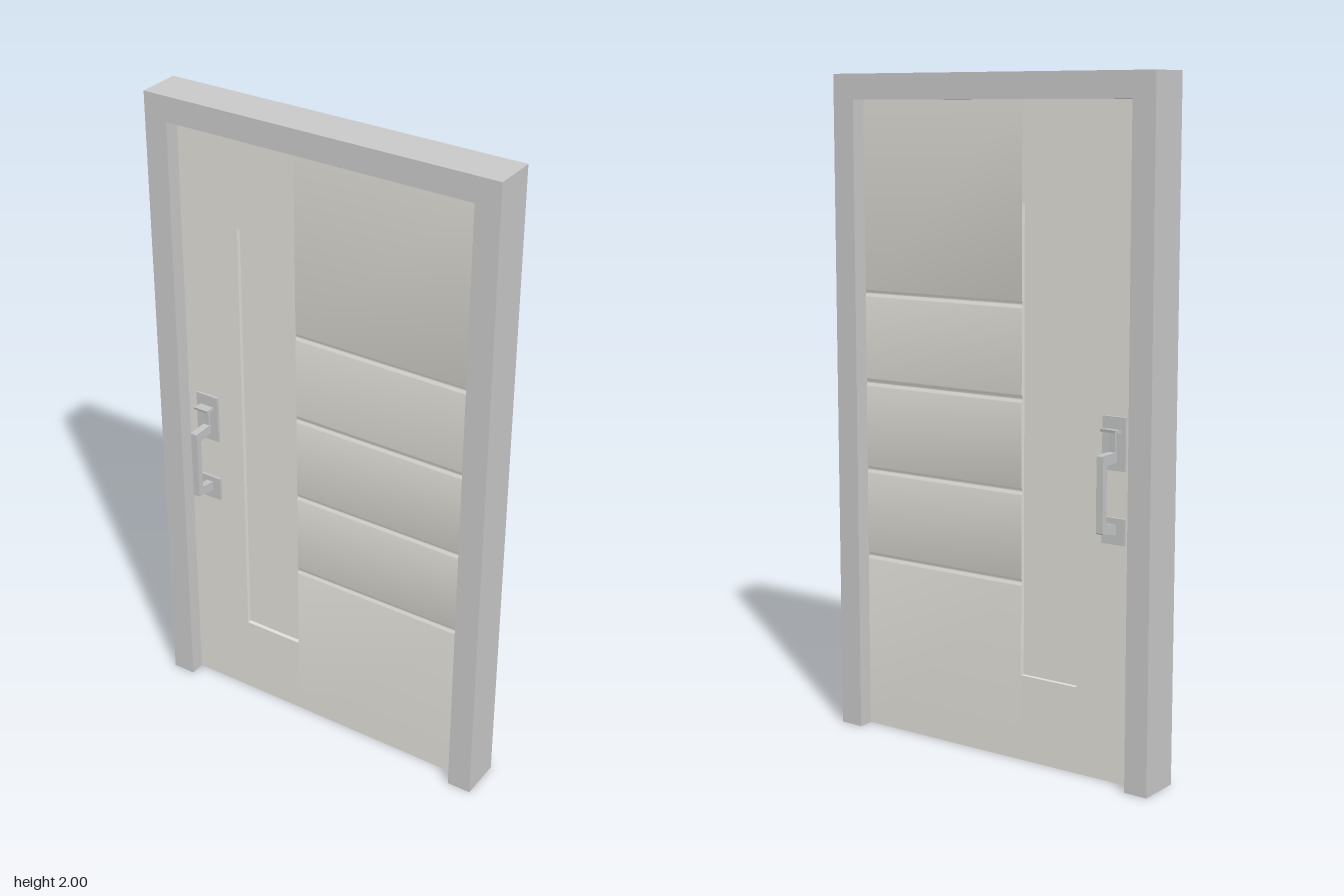
import * as THREE from 'three';
import { toCreasedNormals } from 'three/addons/utils/BufferGeometryUtils.js';

const FRAME_Z = 0.067;  // half depth of the frame
const DOOR_Z = 0.02;    // half thickness of the leaf
const PANE_Z = 0.007;   // half thickness of the sunken panel

const frameMat = new THREE.MeshStandardMaterial({ name: 'frame grey', color: 0xc9c9c9 });
const doorMat = new THREE.MeshStandardMaterial({ name: 'warm grey door', color: 0xe1dfd8 });
const metalMat = new THREE.MeshStandardMaterial({ name: 'handle metal', color: 0xc4c5c6 });

function toShape(points) {
  return new THREE.Shape(points.map(([x, y]) => new THREE.Vector2(x, y)));
}

// Outline in x, y extruded evenly about z = 0
function frontExtrude(points, halfDepth) {
  const geo = new THREE.ExtrudeGeometry(toShape(points), { depth: 2 * halfDepth, bevelEnabled: false });
  return geo.translate(0, 0, -halfDepth);
}

// Outline in z, y extruded along x from x0 to x1
function sideExtrude(points, x0, x1) {
  const shape = toShape(points.map(([z, y]) => [-z, y]));
  const geo = new THREE.ExtrudeGeometry(shape, { depth: x1 - x0, bevelEnabled: false });
  return geo.rotateY(Math.PI / 2).translate(x0, 0, 0);
}

function box(x0, x1, y0, y1, z0, z1) {
  const geo = new THREE.BoxGeometry(x1 - x0, y1 - y0, Math.abs(z1 - z0));
  return geo.translate((x0 + x1) / 2, (y0 + y1) / 2, (z0 + z1) / 2);
}

function add(group, name, geo, mat) {
  const mesh = new THREE.Mesh(geo, mat);
  mesh.name = name;
  group.add(mesh);
}

// Pull handle with thumb latch; side is +1 for the front, -1 for the back
function makeHandle(side) {
  const g = new THREE.Group();
  g.name = side > 0 ? 'frontHandle' : 'backHandle';
  const cx = -0.4125;
  const flip = (points) => points.map(([z, y]) => [z * side, y]);
  const plate = (y0, y1) => box(cx - 0.038, cx + 0.038, y0, y1, DOOR_Z * side, 0.028 * side);
  add(g, 'upperPlate', plate(0.91, 1.062), metalMat);
  add(g, 'lowerPlate', plate(0.7, 0.776), metalMat);

  // Bracket-shaped grip with a sloped lower arm
  const grip = [
    [0.022, 0.963], [0.096, 0.963], [0.098, 0.96], [0.098, 0.744], [0.095, 0.741], [0.022, 0.728],
    [0.022, 0.757], [0.074, 0.767], [0.079, 0.773], [0.079, 0.926], [0.074, 0.932], [0.022, 0.935],
  ];
  add(g, 'grip', sideExtrude(flip(grip), cx - 0.011, cx + 0.011), metalMat);

  // Thumb latch: narrow stem under a wide tilted lever
  const stem = [[0.022, 0.96], [0.034, 0.96], [0.037, 1.022], [0.022, 1.022]];
  add(g, 'latchStem', sideExtrude(flip(stem), cx - 0.009, cx + 0.009), metalMat);
  const lever = [[0.022, 1.014], [0.06, 1.022], [0.062, 1.03], [0.022, 1.026]];
  add(g, 'thumbLever', sideExtrude(flip(lever), cx - 0.024, cx + 0.024), metalMat);
  return g;
}

export function createModel() {
  const model = new THREE.Group();
  model.name = 'entranceDoor';

  // Surrounding frame, open at the bottom
  const left = 0.482, right = -0.484, top = 1.925;
  add(model, 'frame', frontExtrude([
    [-0.557, 0], [right, 0], [right, top], [left, top],
    [left, 0], [0.557, 0], [0.557, 2], [-0.557, 2],
  ], FRAME_Z), frameMat);

  const leaf = new THREE.Group();
  leaf.name = 'doorLeaf';
  model.add(leaf);

  // Handle side of the leaf, notched around the tall panel
  const base = 0.001;
  const wx0 = -0.289, wx1 = -0.095, wy0 = 0.26, wy1 = 1.637;
  add(leaf, 'handleSide', frontExtrude([
    [right, base], [wx1, base], [wx1, wy0], [wx0, wy0],
    [wx0, wy1], [wx1, wy1], [wx1, top], [right, top],
  ], DOOR_Z), doorMat);
  add(leaf, 'tallPanel', box(wx0, wx1, wy0, wy1, -PANE_Z, PANE_Z), doorMat);

  // Hinge side of the leaf with soft shallow grooves on both faces
  const front = [], back = [];
  const steps = 8, grooveWidth = 0.026, grooveDepth = 0.0042;
  for (const y of [0.541, 0.811, 1.08, 1.352]) {
    for (let i = 0; i <= steps; i++) {
      const t = i / steps;
      const z = DOOR_Z - grooveDepth * (1 - Math.cos(t * Math.PI * 2)) / 2;
      const gy = y + (t - 0.5) * grooveWidth;
      front.push([z, gy]);
      back.unshift([-z, gy]);
    }
  }
  const section = [
    [-DOOR_Z, base], [DOOR_Z, base], ...front,
    [DOOR_Z, top], [-DOOR_Z, top], ...back,
  ];
  add(leaf, 'groovedSide', toCreasedNormals(sideExtrude(section, wx1, left), 0.6), doorMat);

  for (const side of [1, -1]) model.add(makeHandle(side));
  return model;
}
